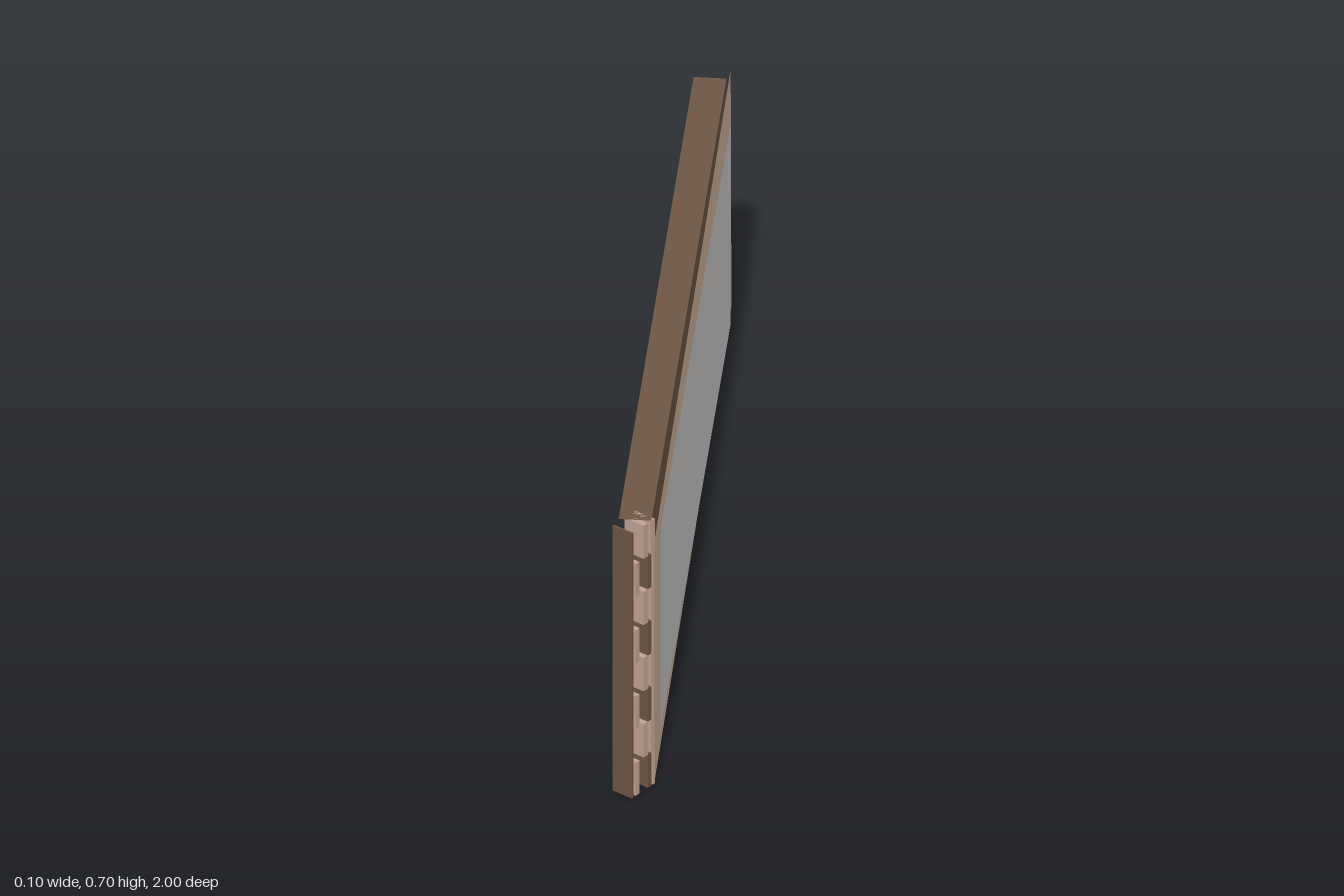
import * as THREE from 'three';

const mat = (color, side = THREE.FrontSide) =>
  new THREE.MeshStandardMaterial({ color, side, flatShading: true });

function box(name, material, size, pos) {
  const mesh = new THREE.Mesh(new THREE.BoxGeometry(...size), material);
  mesh.name = name;
  mesh.position.set(...pos);
  return mesh;
}

// Thin flat sheet, turned by rot from facing +z
function sheet(name, material, w, h, pos, rot) {
  const mesh = new THREE.Mesh(new THREE.PlaneGeometry(w, h), material);
  mesh.name = name;
  mesh.position.set(...pos);
  mesh.rotation.set(...rot);
  return mesh;
}

export function createModel() {
  const model = new THREE.Group();
  const H = 0.7;
  const L = 1.88;
  const Q = Math.PI / 2;
  const wood = mat(0x6d5644);
  const pale = mat(0xbfa092);
  const shell = mat(0x6d5644, THREE.DoubleSide);
  const paper = mat(0xd0b49b, THREE.DoubleSide);
  const grey = mat(0xcccccc, THREE.DoubleSide);

  // Shallow tray standing on its edge, open at the left and front end
  const x0 = -0.04;
  const x1 = 0.034;
  const xc = (x0 + x1) / 2;
  const tray = new THREE.Group();
  tray.name = 'tray';
  tray.add(sheet('trayBase', shell, L, H, [x1, H / 2, 0], [0, Q, 0]));
  tray.add(sheet('trayTop', shell, x1 - x0, L, [xc, H, 0], [-Q, 0, 0]));
  tray.add(sheet('trayBottom', shell, x1 - x0, L, [xc, 0, 0], [Q, 0, 0]));
  tray.add(sheet('trayEnd', shell, x1 - x0, H, [xc, H / 2, -L / 2], [0, Math.PI, 0]));
  model.add(tray);

  // Tilted backing sheet with a plain panel on it
  model.add(sheet('backingSheet', paper, 1.932, 0.638, [0.04, 0.351, -0.024], [0.031, Q, 0]));
  model.add(sheet('panel', grey, 1.76, 0.53, [0.047, 0.352, -0.024], [-0.013, Q, 0]));

  // Turned end post: a thin full-height slat, then staggered blocks row by row
  const post = new THREE.Group();
  post.name = 'endPost';
  post.position.set(-0.005, 0, 1.0);
  post.rotation.y = 0.986;
  const depth = 0.055;
  const block = (name, material, from, to, y, h) =>
    post.add(box(name, material, [to - from, h, depth], [(from + to) / 2, y, -depth / 2]));
  block('slat', wood, 0, 0.006, H / 2, H);
  const rows = 8;
  const rowH = H / rows;
  for (let r = 0; r < rows; r++) {
    const y = (r + 0.5) * rowH;
    if (r % 2) {
      block('paleBlock', pale, 0.043, 0.058, y, rowH);
      block('edgeBlock', pale, 0.07, 0.083, y, rowH);
    } else {
      block('paleBlock', pale, 0.014, 0.028, y, rowH);
      block('woodBlock', wood, 0.058, 0.072, y, rowH);
      block('edgeBlock', pale, 0.076, 0.083, y, rowH);
    }
  }
  model.add(post);
  return model;
}
